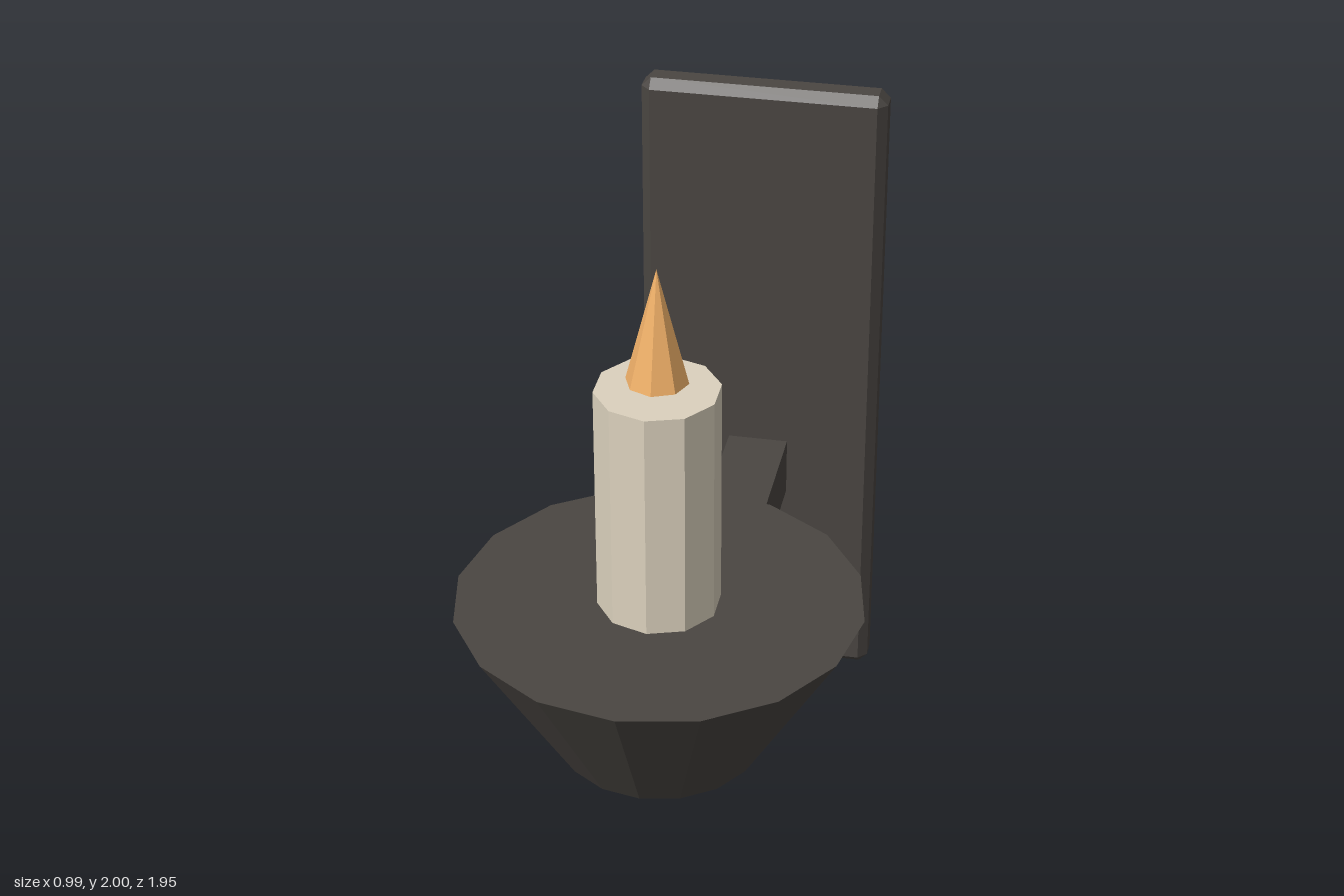
import * as THREE from 'three';
import { ConvexGeometry } from 'three/addons/geometries/ConvexGeometry.js';

const CUP_Z = 0.48;

// Box with every edge chamfered by b
function chamferedBox(w, h, d, b) {
  const half = [w / 2, h / 2, d / 2];
  const points = [];
  for (const sx of [-1, 1]) for (const sy of [-1, 1]) for (const sz of [-1, 1]) {
    for (let axis = 0; axis < 3; axis++) {
      const [x, y, z] = half.map((v, i) => (i === axis ? v : v - b));
      points.push(new THREE.Vector3(sx * x, sy * y, sz * z));
    }
  }
  return new ConvexGeometry(points);
}

// Upright faceted cylinder or cone between two heights
function column(rTop, rBottom, y0, y1, sides) {
  return new THREE.CylinderGeometry(rTop, rBottom, y1 - y0, sides).translate(0, (y0 + y1) / 2, CUP_Z);
}

export function createModel() {
  const group = new THREE.Group();
  const material = (color) => new THREE.MeshStandardMaterial({ color, flatShading: true });
  const iron = material(0x4a4642);
  const wax = material(0xdcd2be);
  const fire = material(0xf0b068);

  const add = (name, geometry, mat) => {
    const mesh = new THREE.Mesh(geometry, mat);
    mesh.name = name;
    group.add(mesh);
  };

  // Wall plate and the arm reaching forward to the cup's centre
  add('wallPlate', chamferedBox(0.66, 1.815, 0.1, 0.025).translate(0, 0.9075, -0.925), iron);
  add('arm', new THREE.BoxGeometry(0.166, 0.165, 1.38).translate(0, 0.6625, -0.21), iron);

  // Solid tapered drip cup, candle and floating flame
  add('dripCup', column(0.493, 0.247, 0.703, 1.115, 16), iron);
  add('candle', column(0.148, 0.148, 1.05, 1.695, 10), wax);
  add('flame', column(0, 0.074, 1.715, 2, 8), fire);

  return group;
}
